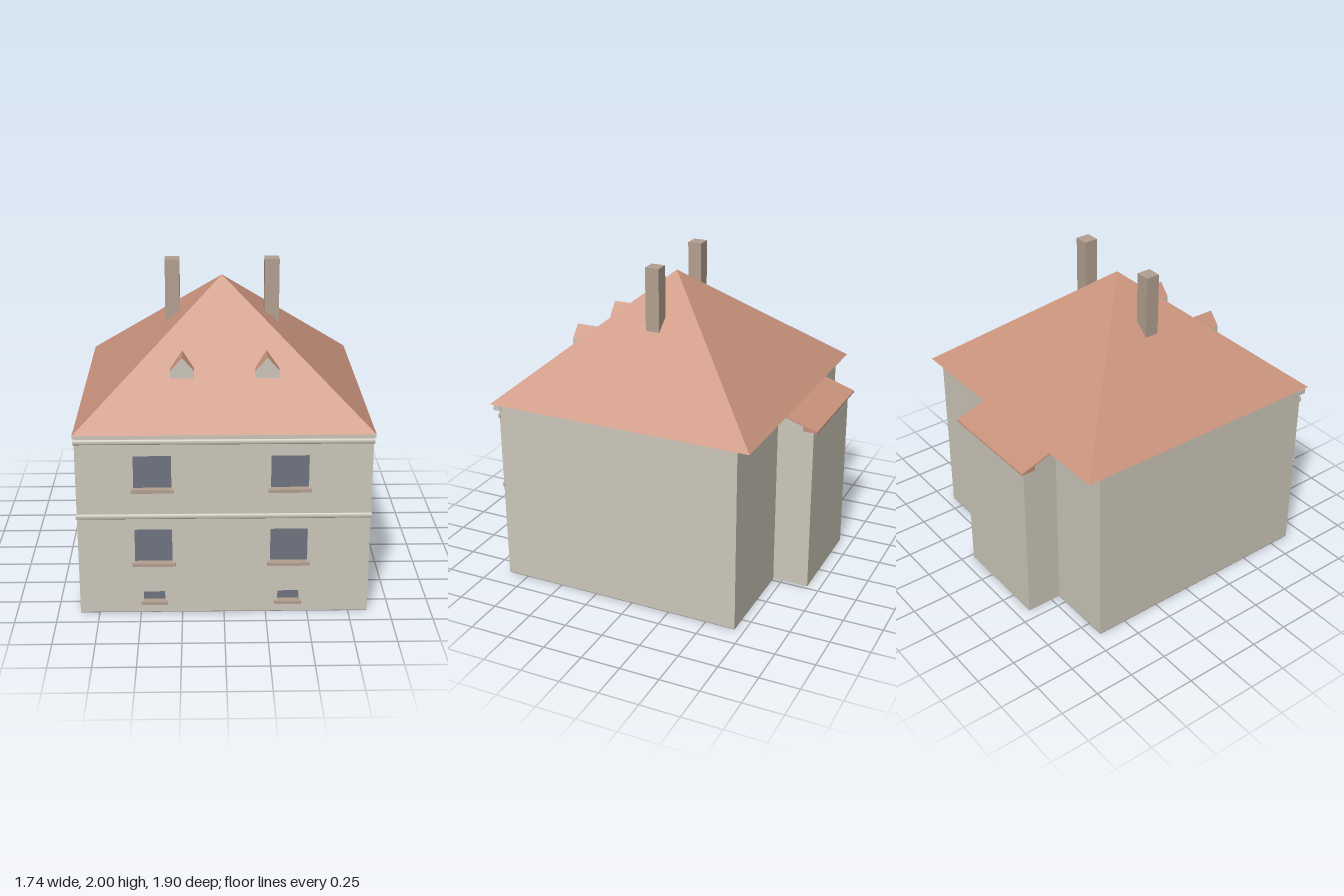
import * as THREE from 'three';

const material = (name, color) => {
  const m = new THREE.MeshStandardMaterial({ color });
  m.name = name;
  return m;
};

export function createModel() {
  const wall = material('wall plaster', 0xcdc7ba);
  const tile = material('roof tile', 0xc8927b);
  const stone = material('stone', 0xb3a090);
  const glass = material('window glass', 0x6f7480);
  const floor = material('floor', 0x909090);
  const house = new THREE.Group();
  house.name = 'house';

  const add = (name, geometry, mat) => {
    const mesh = new THREE.Mesh(geometry, mat);
    mesh.name = name;
    house.add(mesh);
    return mesh;
  };
  // Box given by its limits on each axis
  const box = (name, mat, x0, x1, y0, y1, z0, z1) =>
    add(name, new THREE.BoxGeometry(x1 - x0, y1 - y0, z1 - z0)
      .translate((x0 + x1) / 2, (y0 + y1) / 2, (z0 + z1) / 2), mat);
  const polygon = (points) => new THREE.Shape(points.map(([x, y]) => new THREE.Vector2(x, y)));
  const rectangle = (x0, x1, y0, y1) => [[x0, y0], [x1, y0], [x1, y1], [x0, y1]];
  const extrude = (shape, depth) => new THREE.ExtrudeGeometry(shape, { depth, bevelEnabled: false });
  // Side profile of [distance behind centre, height], extruded across x
  const crossProfile = (points, x0, x1) =>
    extrude(polygon(points), x1 - x0).rotateY(Math.PI / 2).translate(x0, 0, 0);

  // Main body
  const W = 0.865, FRONT = 0.885, RECESS = 0.86;
  box('mainWalls', wall, -W, W, 0.004, 1.17, -0.69, 0.85);
  box('floorPlate', floor, -W, W, 0, 0.004, -0.69, FRONT);

  // Front wall with openings, glass and sills
  const rows = [
    { name: 'upper', half: 0.111, y0: 0.806, y1: 1.018, sill: 0.127 },
    { name: 'middle', half: 0.111, y0: 0.33, y1: 0.55, sill: 0.127 },
    { name: 'cellar', half: 0.064, y0: 0.073, y1: 0.14, sill: 0.079 },
  ];
  const front = polygon(rectangle(-W, W, 0.004, 1.17));
  for (const cx of [-0.418, 0.385]) {
    for (const r of rows) {
      front.holes.push(polygon(rectangle(cx - r.half, cx + r.half, r.y0, r.y1)));
      box(r.name + 'Window', glass, cx - r.half, cx + r.half, r.y0, r.y1, 0.852, RECESS);
      box(r.name + 'Sill', stone, cx - r.sill, cx + r.sill, r.y0 - 0.017, r.y0 + 0.003, RECESS, 0.902);
    }
  }
  add('frontWall', extrude(front, FRONT - 0.85).translate(0, 0, 0.85), wall);

  // Rounded string courses and cornice
  for (const y of [0.635, 1.105]) {
    add('stringCourse', new THREE.CylinderGeometry(0.016, 0.016, 1.742, 16)
      .rotateZ(Math.PI / 2).scale(1, 1, 0.5).translate(0, y, FRONT), wall);
  }
  box('cornice', wall, -0.871, 0.871, 1.138, 1.17, 0.87, 0.922);

  // Pyramid roof
  const roof = new THREE.ConeGeometry(Math.SQRT1_2, 0.725, 4, 1).toNonIndexed();
  roof.rotateY(Math.PI / 4).scale(1.735, 1, 1.715).translate(0, 1.5325, 0.0925);
  roof.computeVertexNormals();
  add('mainRoof', roof, tile);

  // Chimneys
  for (const cx of [-0.304, 0.307]) {
    box('chimney', stone, cx - 0.045, cx + 0.045, 1.55, 2, 0.045, 0.135);
  }

  // Dormers: plastered cheeks below a tiled gable
  for (const cx of [-0.241, 0.258]) {
    box('dormerCheeks', wall, cx - 0.07, cx + 0.07, 1.415, 1.46, 0.55, 0.664);
    const gable = polygon([[-0.07, 1.46], [0.07, 1.46], [0, 1.54]]);
    add('dormerGable', extrude(gable, 0.152).translate(cx, 0, 0.512), [wall, tile]);
  }

  // Rear annex with lean-to roof
  add('annexWalls', crossProfile(
    [[0.68, 0], [0.92, 0], [0.92, 1.088], [0.69, 1.165], [0.68, 1.165]], -0.43, 0.227), wall);
  add('annexRoof', crossProfile(
    [[0.71, 1.16], [0.86, 1.112], [0.86, 1.08], [0.95, 1.08], [0.95, 1.09], [0.71, 1.169]],
    -0.462, 0.254), tile);

  return house;
}
